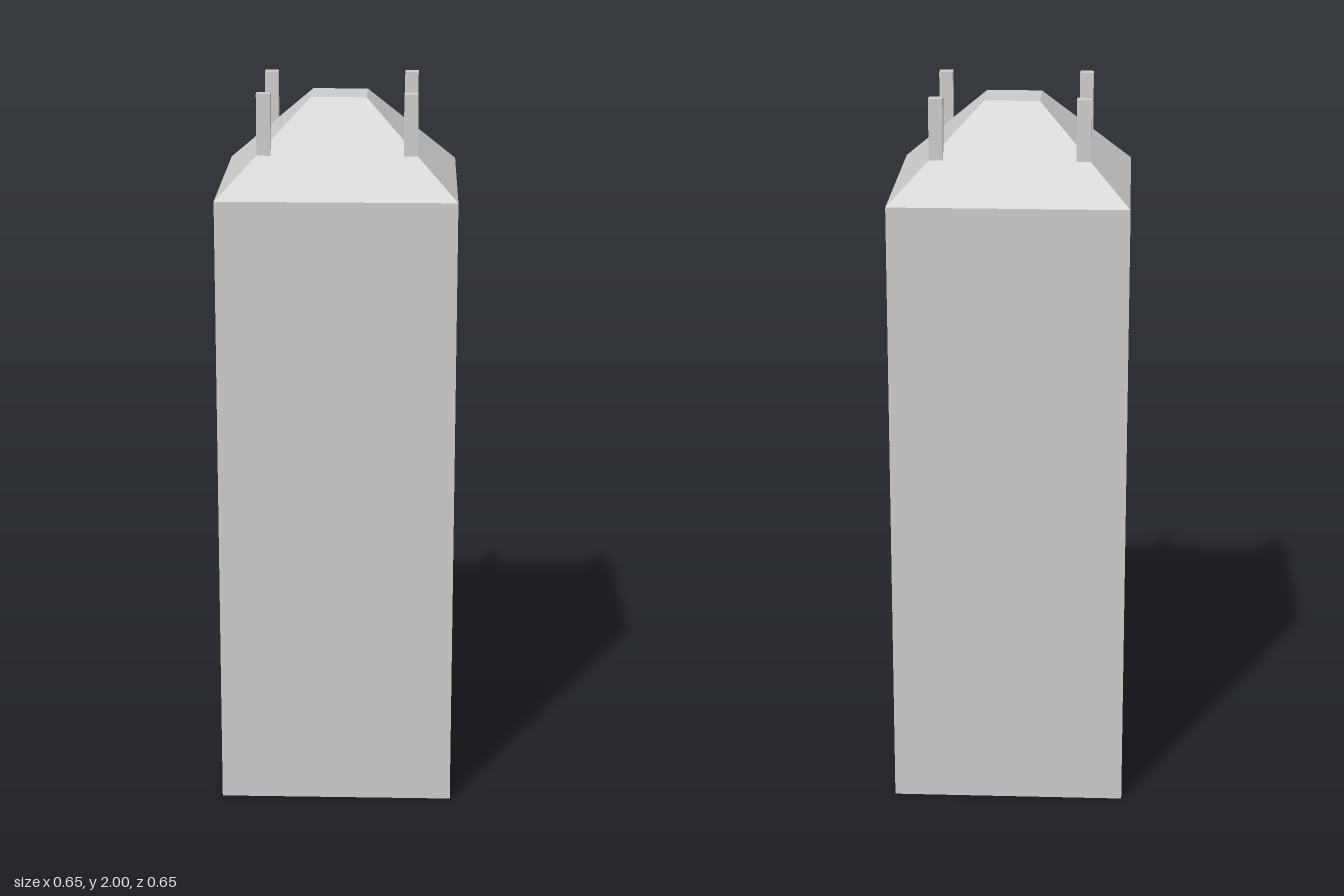
import * as THREE from 'three';

const material = new THREE.MeshStandardMaterial({ color: 0xcccccc, flatShading: true });

const HALF = 0.325;      // half width of the tower
const TOP_HALF = 0.076;  // half width of the flat roof top
const EAVES = 1.73;
const RIDGE = 1.97;

function addPart(parent, name, geometry, x, y, z) {
  const mesh = new THREE.Mesh(geometry, material);
  mesh.name = name;
  mesh.position.set(x, y, z);
  parent.add(mesh);
  return mesh;
}

export function createModel() {
  const model = new THREE.Group();
  model.name = 'tower';

  // Tall square shaft
  addPart(model, 'shaft', new THREE.BoxGeometry(2 * HALF, EAVES, 2 * HALF), 0, EAVES / 2, 0);

  // Truncated pyramid roof: a four-sided cylinder turned square to the axes
  const roof = new THREE.CylinderGeometry(
    TOP_HALF * Math.SQRT2, HALF * Math.SQRT2, RIDGE - EAVES, 4);
  roof.rotateY(Math.PI / 4);
  addPart(model, 'roof', roof, 0, (EAVES + RIDGE) / 2, 0);

  // Four corner posts, set slightly into the roof hips
  const postBottom = 1.825;
  const postTop = 2;
  const post = new THREE.BoxGeometry(0.038, postTop - postBottom, 0.038);
  for (const [xName, x] of [['Left', 1], ['Right', -1]]) {
    for (const [zName, z] of [['front', 1], ['back', -1]]) {
      addPart(model, `${zName}${xName}Post`, post,
        x * 0.198, (postTop + postBottom) / 2, z * 0.198);
    }
  }

  return model;
}
